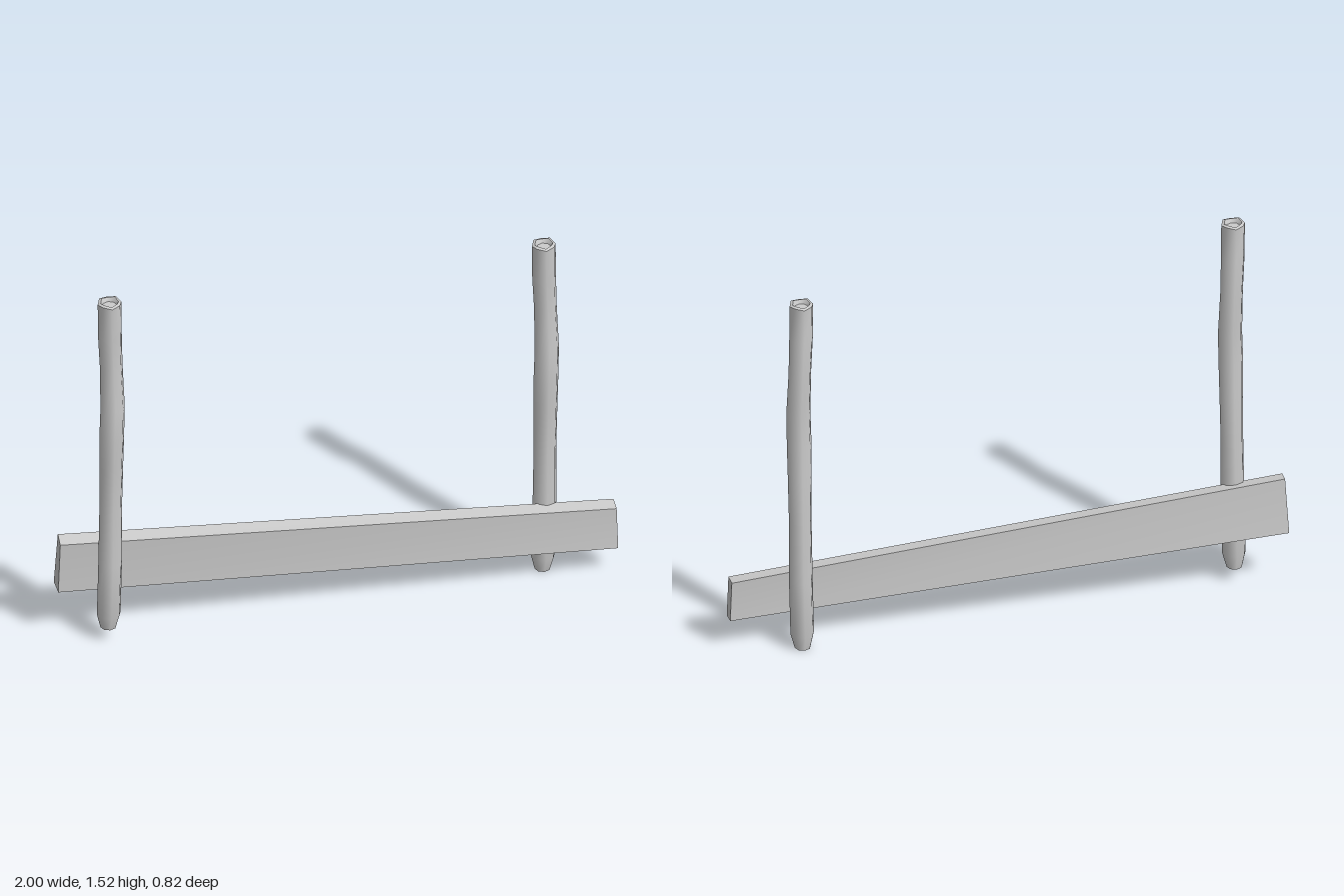
import * as THREE from 'three';
import { toCreasedNormals } from 'three/addons/utils/BufferGeometryUtils.js';

const material = new THREE.MeshStandardMaterial({ color: 0xcccccc });

// Post rings from the dished top down to the blunt point: [x, y, z, radius]
const RINGS = [
  [-0.787, 1.5, 0.367, 0],
  [-0.787, 1.5, 0.367, 0.027],
  [-0.787, 1.517, 0.367, 0.034],
  [-0.787, 1.513, 0.367, 0.045],
  [-0.786, 1.37, 0.366, 0.045],
  [-0.783, 1.23, 0.355, 0.043],
  [-0.776, 1.05, 0.365, 0.046],
  [-0.779, 0.92, 0.366, 0.047],
  [-0.782, 0.78, 0.357, 0.045],
  [-0.785, 0.6, 0.351, 0.043],
  [-0.787, 0.35, 0.352, 0.045],
  [-0.792, 0.12, 0.354, 0.045],
  [-0.794, 0.06, 0.352, 0.03],
  [-0.794, 0.058, 0.352, 0],
];

// Crooked eight-sided wooden post, lofted through the rings
function postGeometry() {
  const sides = 8;
  const geometry = new THREE.CylinderGeometry(1, 1, 1, sides, RINGS.length - 1, true);
  const p = geometry.attributes.position;
  for (let i = 0; i < p.count; i++) {
    const row = Math.floor(i / (sides + 1));
    const col = i % (sides + 1) % sides;
    const [x, y, z, r] = RINGS[row];
    const angle = ((col + 0.5) / sides) * Math.PI * 2;
    // slightly uneven cut along the rim
    const chip = row === 2 || row === 3 ? (col % 2 ? 0.003 : -0.003) : 0;
    p.setXYZ(i, x + Math.sin(angle) * r, y + chip, z + Math.cos(angle) * r);
  }
  return toCreasedNormals(geometry, 0.85);
}

// Tapered, slightly twisted plank between the posts
function plankGeometry() {
  const geometry = new THREE.BoxGeometry(1, 1, 1);
  const p = geometry.attributes.position;
  // order: left end then right end; bottom back, bottom front, top back, top front
  const corners = [
    [-1.0, 0.225, 0.335], [-0.975, 0.215, 0.388], [-0.983, 0.447, 0.348], [-0.965, 0.437, 0.404],
    [0.98, 0.125, -0.405], [1.0, 0.118, -0.352], [0.973, 0.293, -0.415], [0.993, 0.288, -0.36],
  ];
  for (let i = 0; i < p.count; i++) {
    const k = (p.getX(i) > 0 ? 4 : 0) + (p.getY(i) > 0 ? 2 : 0) + (p.getZ(i) > 0 ? 1 : 0);
    p.setXYZ(i, ...corners[k]);
  }
  geometry.computeVertexNormals();
  return geometry;
}

export function createModel() {
  const group = new THREE.Group();
  group.name = 'fenceSection';

  const post = postGeometry();
  const rightPost = new THREE.Mesh(post, material);
  rightPost.name = 'rightPost';
  const leftPost = new THREE.Mesh(post, material);
  leftPost.name = 'leftPost';
  leftPost.position.set(1.512, -0.056, -0.702);

  const plank = new THREE.Mesh(plankGeometry(), material);
  plank.name = 'plank';

  group.add(rightPost, leftPost, plank);
  return group;
}
